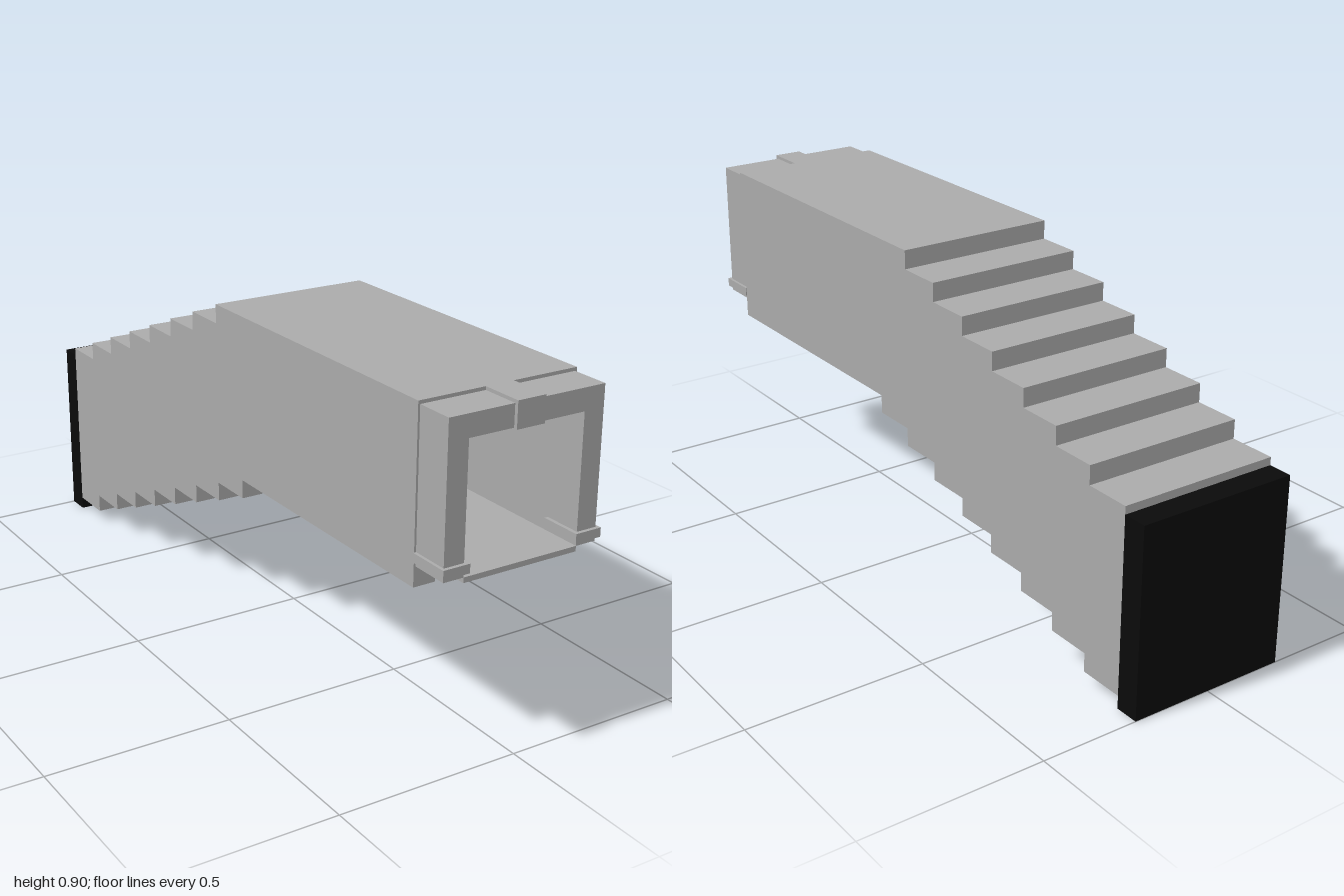
import * as THREE from 'three';

const HALF = 0.2275;    // half outer width
const INNER = 0.165;    // half width of the passage
const STEPS = 8;
const RISE = 0.0519;
const RUN = 0.13;
const COLLAR = 0.885;   // where the main tube ends and the front collar begins
const START = 0.107;    // where the descending part begins

export function createModel() {
  const model = new THREE.Group();
  const grey = new THREE.MeshStandardMaterial({ color: 0xaaaaaa });
  grey.name = 'grey';
  const black = new THREE.MeshStandardMaterial({ color: 0x0a0a0a });
  black.name = 'black';

  // Box given by its limits on each axis
  function box(name, x0, x1, y0, y1, z0, z1, material = grey) {
    const mesh = new THREE.Mesh(new THREE.BoxGeometry(x1 - x0, y1 - y0, z1 - z0), material);
    mesh.position.set((x0 + x1) / 2, (y0 + y1) / 2, (z0 + z1) / 2);
    mesh.name = name;
    model.add(mesh);
  }

  // Stepped outline of a side wall, drawn as (z, y)
  const outline = [[COLLAR, 0.905], [COLLAR, 0.451], [START, 0.451]];
  const top = [];
  for (let k = 0; k < STEPS; k++) {
    const front = START - k * RUN, back = front - RUN;
    const low = 0.451 - RISE * (k + 1), high = 0.905 - RISE * k;
    outline.push([front, low], [back, low]);
    if (k > 0) top.unshift([front, high]);
    top.unshift([back, high]);
    if (k < STEPS - 1) continue;
  }
  // Each upper riser joins two treads, so the drop points follow naturally
  outline.push(...top, [START, 0.905]);
  const shape = new THREE.Shape(outline.map(([z, y]) => new THREE.Vector2(z, y)));
  const wallGeometry = new THREE.ExtrudeGeometry(shape, { depth: HALF - INNER, bevelEnabled: false });
  wallGeometry.rotateY(-Math.PI / 2);
  for (const [name, x] of [['leftWall', HALF], ['rightWall', -INNER]]) {
    const wall = new THREE.Mesh(wallGeometry, grey);
    wall.position.x = x;
    wall.name = name;
    model.add(wall);
  }

  // Level part: ceiling and thin raised floor
  box('ceiling', -INNER, INNER, 0.838, 0.905, START, COLLAR);
  box('floor', -INNER, INNER, 0.489, 0.503, START, 0.99);

  // Descending part: ceiling and floor slabs joined by risers
  for (let k = 0; k < STEPS; k++) {
    const front = START - k * RUN, back = front - RUN, drop = RISE * k;
    box('ceilingStep', -INNER, INNER, 0.838 - drop, 0.905 - drop, back, front);
    box('floorStep', -INNER, INNER, 0.425 - drop, 0.451 - drop, back, front);
    box('floorRiser', -INNER, INNER, 0.425 - drop, (k ? 0.478 : 0.503) - drop, front - 0.014, front);
  }

  // Slightly narrower collar at the open front
  box('collarTop', -0.222, 0.222, 0.838, 0.896, COLLAR, 0.99);
  for (const s of [-1, 1]) {
    const span = (a, b) => (s > 0 ? [a, b] : [-b, -a]);
    box('collarSide', ...span(INNER, 0.222), 0.503, 0.838, COLLAR, 0.99);
    box('lowerClip', ...span(0.155, 0.23), 0.515, 0.539, COLLAR, 1);
  }
  box('upperClip', -0.04, 0.04, 0.836, 0.905, COLLAR, 1);

  // Dark end plate
  box('endPlate', -HALF, HALF, 0, 0.52, -1, START - STEPS * RUN, black);
  return model;
}
